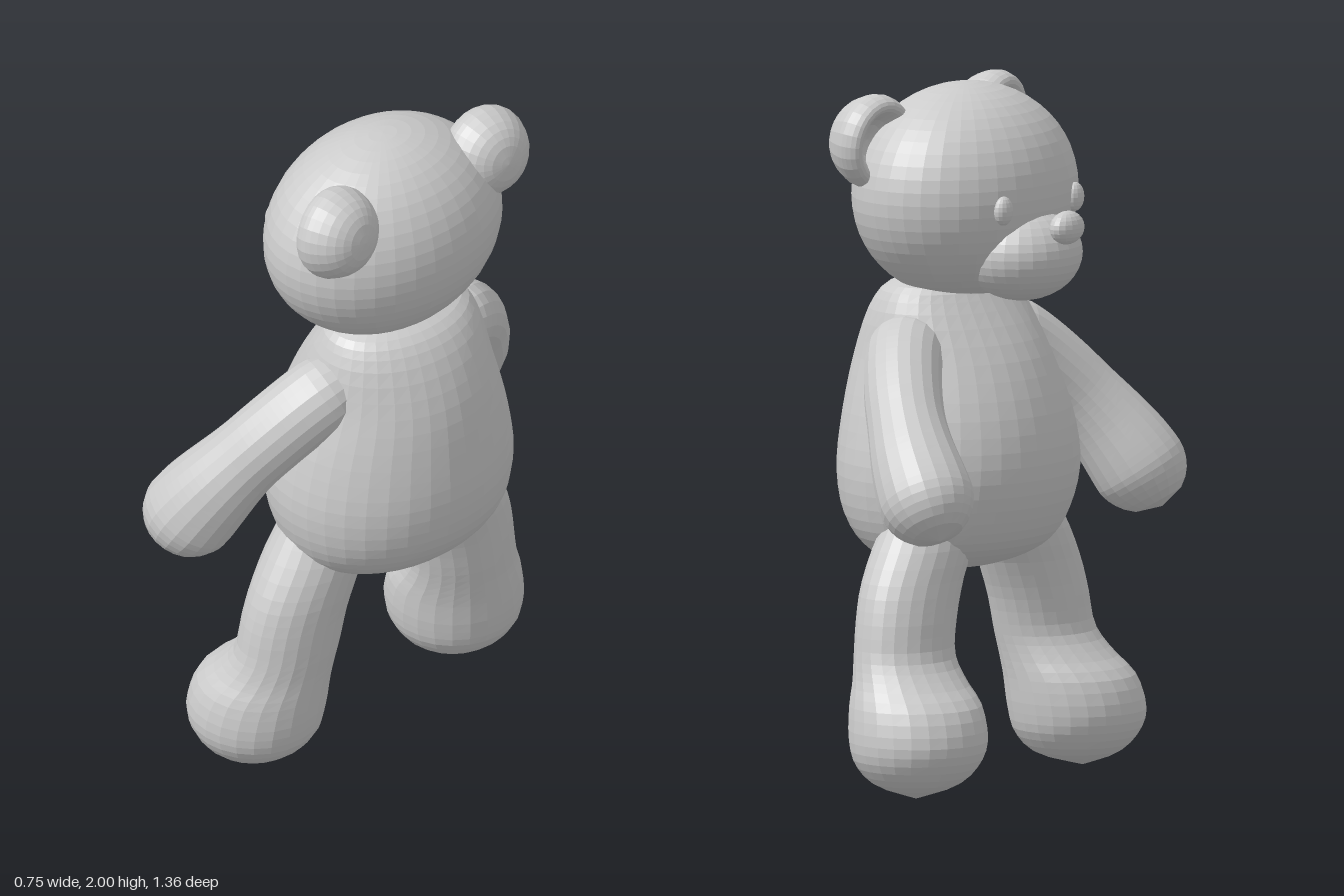
import * as THREE from 'three';

const material = new THREE.MeshStandardMaterial({ color: 0xcccccc, flatShading: true });

function addMesh(parent, name, geometry) {
  const mesh = new THREE.Mesh(geometry, material);
  mesh.name = name;
  parent.add(mesh);
  return mesh;
}

function ellipsoid(parent, name, center, radii, w = 32, h = 24) {
  const mesh = addMesh(parent, name, new THREE.SphereGeometry(1, w, h));
  mesh.position.set(...center);
  mesh.scale.set(...radii);
  return mesh;
}

// Elliptical loft through sections [y, xFront, xBack, zMin, zMax], listed top first
function loft(sections, rows, columns) {
  const curve = (f) => new THREE.CatmullRomCurve3(sections.map(f), false, 'catmullrom', 0.5);
  const xCurve = curve((s) => new THREE.Vector3(s[1], s[0], s[2]));
  const zCurve = curve((s) => new THREE.Vector3(s[3], s[0], s[4]));
  const geometry = new THREE.PlaneGeometry(1, 1, columns, rows);
  const pos = geometry.attributes.position;
  for (let j = 0; j <= rows; j++) {
    const px = xCurve.getPoint(j / rows);
    const pz = zCurve.getPoint(j / rows);
    for (let i = 0; i <= columns; i++) {
      const a = (i / columns) * Math.PI * 2;
      pos.setXYZ(
        j * (columns + 1) + i,
        (px.x + px.z) / 2 + (Math.sin(a) * (px.z - px.x)) / 2,
        px.y,
        (pz.x + pz.z) / 2 + (Math.cos(a) * (pz.z - pz.x)) / 2
      );
    }
  }
  geometry.computeVertexNormals();
  return geometry;
}

// Tube whose radius grows from r0 to r1, with both ends rounded
function taperedLimb(points, r0, r1, steps = 36, sides = 20) {
  const path = new THREE.CatmullRomCurve3(points);
  const length = path.getLength();
  const geometry = new THREE.TubeGeometry(path, steps, 1, sides);
  const pos = geometry.attributes.position;
  const v = new THREE.Vector3();
  const round = (d, r) => (d < r ? Math.sqrt(Math.max(0, 1 - (1 - d / r) ** 2)) : 1);
  for (let j = 0; j <= steps; j++) {
    const t = j / steps;
    const center = path.getPointAt(t);
    const r = THREE.MathUtils.lerp(r0, r1, THREE.MathUtils.smoothstep(t, 0.45, 0.85))
      * round(t * length, r0) * round((1 - t) * length, r1);
    for (let i = 0; i <= sides; i++) {
      const k = j * (sides + 1) + i;
      v.fromBufferAttribute(pos, k).sub(center).multiplyScalar(r).add(center);
      pos.setXYZ(k, v.x, v.y, v.z);
    }
  }
  geometry.computeVertexNormals();
  return geometry;
}

export function createModel() {
  const bear = new THREE.Group();
  bear.name = 'teddyBear';

  // Pear-shaped body
  const body = [
    [1.47, 0.06, 0.06, 0, 0],
    [1.44, -0.06, 0.2, -0.2, 0.2],
    [1.37, -0.12, 0.275, -0.26, 0.26],
    [1.22, -0.21, 0.335, -0.3, 0.3],
    [1.05, -0.27, 0.362, -0.355, 0.355],
    [0.9, -0.285, 0.37, -0.382, 0.382],
    [0.77, -0.25, 0.345, -0.365, 0.365],
    [0.68, -0.19, 0.28, -0.31, 0.31],
    [0.625, -0.08, 0.19, -0.2, 0.2],
    [0.6, 0.08, 0.08, 0, 0],
  ];
  addMesh(bear, 'body', loft(body, 30, 36));

  // Head, muzzle and nose, all facing -x
  const head = new THREE.Group();
  head.name = 'head';
  bear.add(head);
  ellipsoid(head, 'skull', [0.02, 1.69, 0], [0.29, 0.31, 0.382], 36, 26);
  ellipsoid(head, 'muzzle', [-0.18, 1.525, 0], [0.165, 0.135, 0.185], 26, 18);
  ellipsoid(head, 'noseBridge', [-0.21, 1.58, 0], [0.12, 0.08, 0.11], 20, 14).rotation.z = 0.5;
  ellipsoid(head, 'nose', [-0.335, 1.61, 0], [0.04, 0.048, 0.066], 16, 12);

  // Cupped ear profile, from the rounded back to the hollow front
  const earProfile = [
    [0, -0.1], [0.06, -0.09], [0.105, -0.06], [0.132, -0.01], [0.135, 0.025],
    [0.122, 0.055], [0.1, 0.06], [0.08, 0.04], [0.05, 0.005], [0, -0.01],
  ].map(([r, y]) => new THREE.Vector2(r, y));
  const earGeometry = new THREE.LatheGeometry(
    new THREE.SplineCurve(earProfile).getPoints(20).map((p) => new THREE.Vector2(Math.max(0, p.x), p.y)), 24);

  // Leg with a forward-swelling foot
  const leg = [
    [0.88, 0, 0, 0.2, 0.2],
    [0.84, -0.08, 0.08, 0.09, 0.3],
    [0.72, -0.125, 0.125, 0.06, 0.39],
    [0.6, -0.13, 0.13, 0.115, 0.46],
    [0.5, -0.135, 0.125, 0.155, 0.492],
    [0.4, -0.145, 0.12, 0.178, 0.51],
    [0.33, -0.195, 0.115, 0.185, 0.535],
    [0.26, -0.265, 0.112, 0.185, 0.572],
    [0.17, -0.292, 0.105, 0.19, 0.59],
    [0.1, -0.27, 0.085, 0.21, 0.575],
    [0.04, -0.21, 0.025, 0.27, 0.52],
    [0, -0.1, -0.1, 0.41, 0.41],
  ];

  for (const side of [1, -1]) {
    const label = side > 0 ? 'left' : 'right';

    ellipsoid(head, label + 'Eye', [-0.238, 1.67, 0.175 * side], [0.024, 0.042, 0.034], 14, 10);

    const ear = addMesh(head, label + 'Ear', earGeometry);
    ear.position.set(0.145, 1.855, 0.293 * side);
    ear.rotation.set(0, 0.1 * side, Math.PI / 2 + 0.1);

    // The right arm is raised slightly further forward
    const lift = side > 0 ? 0 : 0.04;
    const arm = [
      [0.07, 1.27, 0.17], [0.045, 1.235, 0.27], [-0.03, 1.12, 0.395],
      [-0.12, 0.98, 0.49], [-0.2, 0.85, 0.545], [-0.26, 0.735, 0.575],
    ].map(([x, y, z], i) => new THREE.Vector3(x - (lift * i) / 5, y + (lift * i) / 5, z * side));
    addMesh(bear, label + 'Arm', taperedLimb(arm, 0.112, 0.138));

    const sections = leg.map(([y, f, b, i, o]) => (side > 0 ? [y, f, b, i, o] : [y, f, b, -o, -i]));
    addMesh(bear, label + 'Leg', loft(sections, 30, 24));
  }
  return bear;
}
